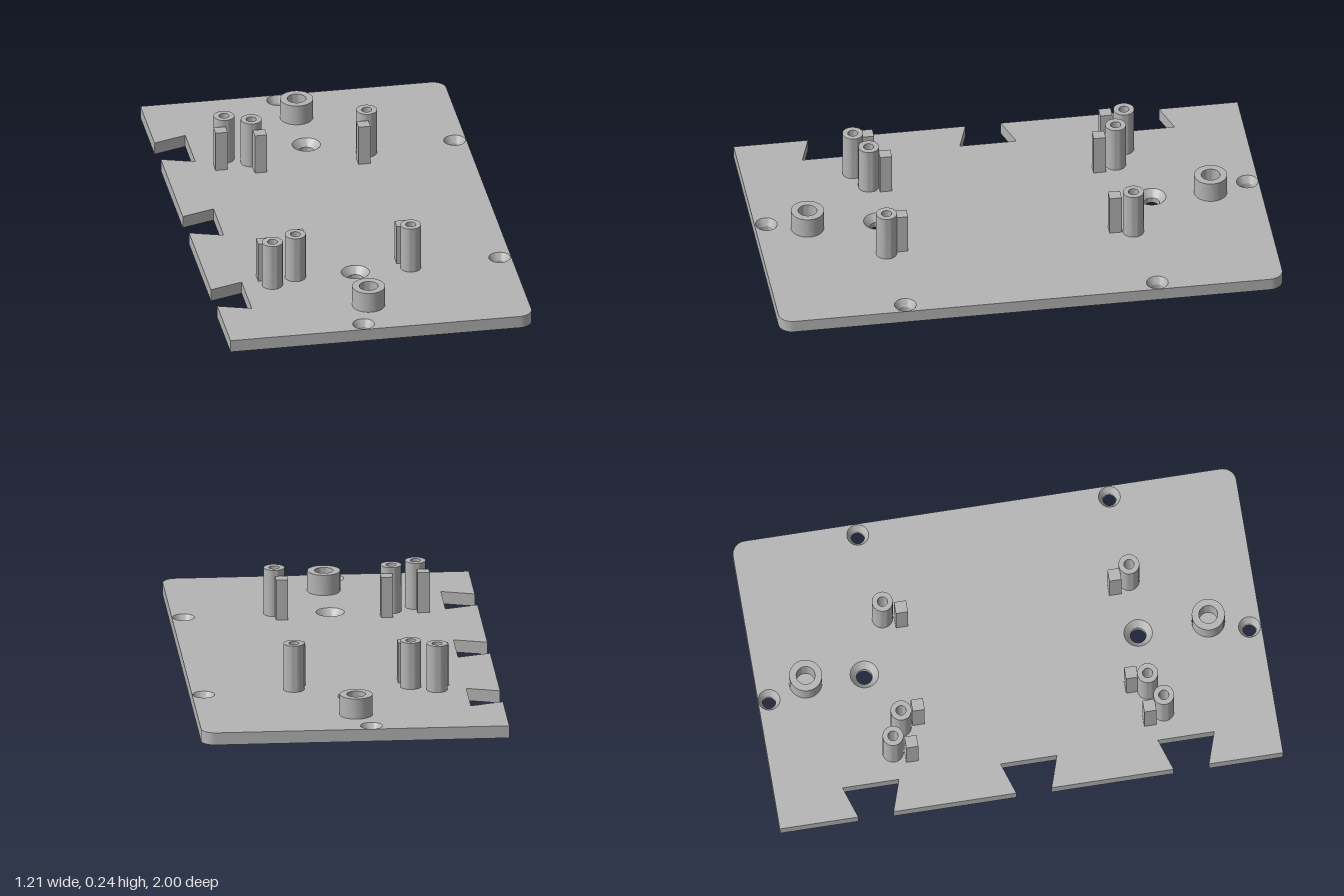
import * as THREE from 'three';
import { toCreasedNormals } from 'three/addons/utils/BufferGeometryUtils.js';

const T = 0.05, X0 = -0.605, X1 = 0.604, R = 0.055, SEG = 32;

// Countersunk holes: x, z, top radius, bottom radius
const HOLES = [
  [-0.066, -0.956, 0.043, 0.026], [-0.066, 0.953, 0.043, 0.026],
  [0.558, -0.503, 0.043, 0.026], [0.558, 0.497, 0.043, 0.026],
  [-0.021, -0.57, 0.056, 0.031], [-0.021, 0.518, 0.056, 0.031],
];

// Plate outline in x, z: two rounded corners and three dovetail notches
function outline() {
  const pts = [[X0, -1]];
  for (const [cz, start] of [[-1 + R, -Math.PI / 2], [1 - R, 0]]) {
    for (let i = 0; i <= 10; i++) {
      const a = start + (i / 10) * Math.PI / 2;
      pts.push([X1 - R + R * Math.cos(a), cz + R * Math.sin(a)]);
    }
  }
  pts.push([X0, 1]);
  for (const z of [0.635, 0.01, -0.618]) {
    pts.push([X0, z + 0.07], [-0.475, z + 0.112], [-0.475, z - 0.112], [X0, z - 0.07]);
  }
  return pts;
}

// Flat face with holes; side is 1 for the top, -1 for the underside
function face(pts, side) {
  const at = (x, z) => new THREE.Vector2(x, -side * z);
  const shape = new THREE.Shape(pts.map(([x, z]) => at(x, z)));
  for (const [x, z, top, bottom] of HOLES) {
    const r = side > 0 ? top : bottom, ring = [];
    for (let i = 0; i < SEG; i++) {
      const a = (i / SEG) * Math.PI * 2;
      ring.push(at(x + r * Math.sin(a), z + r * Math.cos(a)));
    }
    shape.holes.push(new THREE.Path(ring));
  }
  return new THREE.ShapeGeometry(shape).rotateX(-side * Math.PI / 2).translate(0, side > 0 ? T : 0, 0);
}

// Upright rim following the outline
function rim(pts) {
  const pos = [];
  pts.forEach(([ax, az], i) => {
    const [bx, bz] = pts[(i + 1) % pts.length];
    pos.push(ax, 0, az, ax, T, az, bx, T, bz, ax, 0, az, bx, T, bz, bx, 0, bz);
  });
  const g = new THREE.BufferGeometry();
  g.setAttribute('position', new THREE.Float32BufferAttribute(pos, 3));
  g.computeVertexNormals();
  return toCreasedNormals(g, 0.5);
}

const lathe = (profile) => toCreasedNormals(
  new THREE.LatheGeometry(profile.map(([r, y]) => new THREE.Vector2(r, y)), SEG), 0.5);

// Round post with a blind bore
const post = (r, bore, top) => lathe([[r, T], [r, top], [bore, top], [bore, T + 0.005], [0, T + 0.005]]);

export function createModel() {
  const model = new THREE.Group();
  const grey = new THREE.MeshStandardMaterial({ color: 0xb4b4b4 });
  grey.name = 'plainGrey';
  const add = (name, geometry, x = 0, y = 0, z = 0, parent = model) => {
    const mesh = new THREE.Mesh(geometry, grey);
    mesh.name = name;
    mesh.position.set(x, y, z);
    parent.add(mesh);
  };

  // Base plate with its countersinks
  const plate = new THREE.Group();
  plate.name = 'basePlate';
  model.add(plate);
  const pts = outline();
  add('plateTop', face(pts, 1), 0, 0, 0, plate);
  add('plateUnderside', face(pts, -1), 0, 0, 0, plate);
  add('plateRim', rim(pts), 0, 0, 0, plate);
  for (const [x, z, top, bottom] of HOLES) {
    add('countersunkHole', lathe([[top, T], [bottom, 0.022], [bottom, 0]]), x, 0, z, plate);
  }

  // Short wide bosses near the two ends
  const boss = post(0.065, 0.037, 0.133);
  for (const z of [-0.803, 0.797]) add('boss', boss, -0.018, 0, z);

  // Screw posts, each with a square support pin on its inner side
  const screwPost = post(0.041, 0.02, 0.24);
  const pin = new THREE.BoxGeometry(0.048, 0.215 - T, 0.048);
  for (const side of [-1, 1]) {
    const centre = 0.027;
    for (const [x, dz, px, pdz] of [
      [-0.36, 0.538, -0.386, 0.469],
      [-0.26, 0.49, -0.238, 0.42],
      [0.2, 0.49, 0.175, 0.42],
    ]) {
      add('screwPost', screwPost, x, 0, centre + side * dz);
      add('supportPin', pin, px, (0.215 + T) / 2, centre + side * pdz + 0.008 * (side > 0 ? 1 : 0));
    }
  }
  return model;
}
